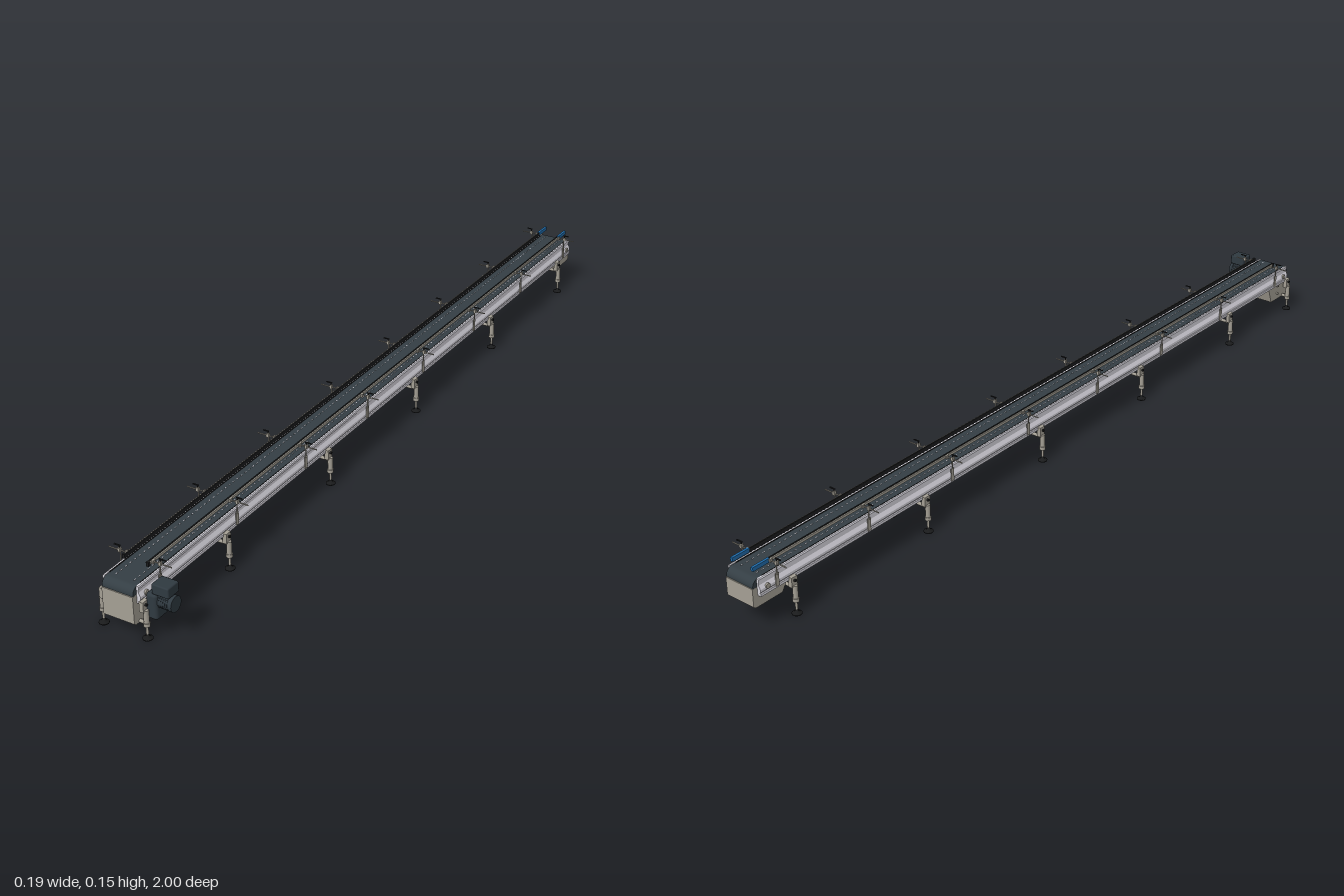
import * as THREE from 'three';
import { RoundedBoxGeometry } from 'three/addons/geometries/RoundedBoxGeometry.js';

const mat = (name, color) => {
  const m = new THREE.MeshStandardMaterial({ color });
  m.name = name;
  return m;
};

export function createModel() {
  const root = new THREE.Group();
  root.name = 'conveyor';
  const steel = mat('brushed steel', 0xa49f94);
  const aluminium = mat('aluminium', 0xd6d4dc);
  const beltDark = mat('belt slate', 0x343e44);
  const black = mat('black plastic', 0x1a1b1c);
  const motorGrey = mat('motor grey', 0x2f3940);
  const blue = mat('sensor blue', 0x1f6aa8);

  const CX = -0.018; // centre line of the track
  const add = (parent, name, geo, material, x = 0, y = 0, z = 0) => {
    const m = new THREE.Mesh(geo, material);
    m.name = name;
    m.position.set(x, y, z);
    parent.add(m);
    return m;
  };
  const box = (p, name, m, w, h, d, x, y, z) => add(p, name, new THREE.BoxGeometry(w, h, d), m, x, y, z);
  const rod = (p, name, m, r, len, axis, x, y, z, n = 12) => {
    const g = new THREE.CylinderGeometry(r, r, len, n);
    if (axis === 'x') g.rotateZ(Math.PI / 2);
    if (axis === 'z') g.rotateX(Math.PI / 2);
    return add(p, name, g, m, x, y, z);
  };
  const group = (name, x = 0, y = 0, z = 0) => {
    const g = new THREE.Group();
    g.name = name;
    g.position.set(x, y, z);
    root.add(g);
    return g;
  };
  // extrudes a z-y outline across the track, centred on x = 0
  const across = (shape, width) => {
    const g = new THREE.ExtrudeGeometry(shape, { depth: width, bevelEnabled: false, curveSegments: 10 });
    g.translate(0, 0, -width / 2);
    return g.rotateY(-Math.PI / 2);
  };

  // belt loop, flat above with rounded ends and a return run sagging between rollers
  const loop = new THREE.Shape();
  loop.moveTo(-0.98, 0.12);
  loop.absarc(-0.98, 0.104, 0.016, Math.PI / 2, Math.PI * 1.5, false);
  for (let i = 1; i < 108; i++) {
    const z = -0.98 + (1.96 * i) / 108;
    const end = Math.min(1, (0.98 - Math.abs(z)) / 0.1);
    loop.lineTo(z, 0.088 - end * 0.006 * Math.abs(Math.sin(((z + 0.9) * Math.PI) / 0.2)));
  }
  loop.absarc(0.98, 0.104, 0.016, -Math.PI / 2, Math.PI / 2, false);
  loop.closePath();
  add(root, 'belt', across(loop, 0.075), beltDark, CX);

  // light link pins along both sides of the carrying surface
  const pin = new THREE.BoxGeometry(0.0016, 0.001, 0.006);
  for (let i = 0; i < 130; i++) {
    for (const x of [-0.022, 0.022]) add(root, 'beltPin', pin, aluminium, CX + x, 0.1203, -0.9675 + i * 0.015);
  }

  // side frame profile with a sloping shoulder, drawn outward from the belt
  const profile = new THREE.Shape([
    [0.038, 0.081], [0.047, 0.081], [0.047, 0.087], [0.045, 0.088], [0.045, 0.09], [0.047, 0.091],
    [0.047, 0.097], [0.0425, 0.106], [0.0425, 0.113], [0.044, 0.114], [0.044, 0.119], [0.042, 0.121], [0.038, 0.121],
  ].map(([x, y]) => new THREE.Vector2(x, y)));
  const frameGeo = new THREE.ExtrudeGeometry(profile, { depth: 1.97, bevelEnabled: false });
  frameGeo.translate(0, 0, -0.985);
  const frameGeoMirror = frameGeo.clone().rotateY(Math.PI);

  // foot lathe profile
  const footGeo = new THREE.LatheGeometry(
    [[0, 0], [0.011, 0], [0.011, 0.0025], [0.004, 0.005], [0.003, 0.011], [0, 0.011]]
      .map(([x, y]) => new THREE.Vector2(x, y)), 16);

  const legZ = [0.98, 0.695, 0.295, -0.1, -0.5, -0.9];
  const bracketZ = [0.92, 0.653, 0.386, 0.12, -0.145, -0.41, -0.675, -0.94];

  for (const s of [-1, 1]) {
    add(root, 'sideFrame', s > 0 ? frameGeo : frameGeoMirror, aluminium, CX);
    box(root, 'wearStrip', black, 0.002, 0.002, 1.94, CX + s * 0.0375, 0.1205, 0);
    for (const z of [-0.965, 0.965]) {
      rod(root, 'shaftBearing', steel, 0.006, 0.004, 'x', CX + s * 0.047, 0.098, z, 16);
    }

    // legs with levelling feet
    for (const z of legZ) {
      const leg = group('leg', CX + s * 0.054, 0, z);
      add(leg, 'foot', footGeo, black);
      rod(leg, 'spindle', steel, 0.0028, 0.03, 'y', 0, 0.023, 0);
      rod(leg, 'legTube', steel, 0.0058, 0.036, 'y', 0, 0.05, 0);
      rod(leg, 'legCollar', steel, 0.0072, 0.008, 'y', 0, 0.034, 0);
      box(leg, 'legClamp', steel, 0.01, 0.024, 0.016, -s * 0.005, 0.076, 0);
      rod(leg, 'clampBolt', black, 0.003, 0.004, 'x', s * 0.002, 0.08, 0, 8);
    }

    // guide rail brackets
    for (const z of bracketZ) {
      const b = group('railBracket', CX, 0, z);
      box(b, 'bracketPlate', steel, 0.002, 0.03, 0.009, s * 0.048, 0.1, 0);
      rod(b, 'bracketPost', steel, 0.0014, 0.03, 'y', s * 0.0485, 0.126, 0, 8);
      rod(b, 'bracketArm', steel, 0.0014, 0.046, 'x', s * 0.054, 0.139, 0, 8);
      box(b, 'armClamp', steel, 0.006, 0.009, 0.007, s * 0.05, 0.14, 0);
      box(b, 'clampHandle', black, 0.015, 0.002, 0.003, s * 0.055, 0.15, 0);
      rod(b, 'handleStem', black, 0.0012, 0.008, 'y', s * 0.05, 0.147, 0, 8);
      box(b, 'railHolder', steel, 0.003, 0.008, 0.008, s * 0.0335, 0.139, 0);
    }

    // guide rail: steel back with a black sliding face, and a blue sensor beyond its rear end
    box(root, 'guideRailBack', steel, 0.003, 0.006, 1.87, CX + s * 0.0305, 0.139, -0.005);
    box(root, 'guideRailFace', black, 0.003, 0.009, 1.87, CX + s * 0.0275, 0.139, -0.005);
    box(root, 'railCap', black, 0.0065, 0.0095, 0.006, CX + s * 0.029, 0.139, 0.932);
    box(root, 'sensorBody', blue, 0.006, 0.0095, 0.032, CX + s * 0.029, 0.1395, -0.957);
    box(root, 'sensorTip', blue, 0.006, 0.0095, 0.014, CX + s * 0.029, 0.1395, -0.98);
  }

  // cross bars between legs
  legZ.forEach((z, i) => {
    rod(root, 'crossBar', steel, 0.004, 0.106, 'x', CX, i ? 0.062 : 0.037, z);
  });

  // return rollers under the belt
  for (let i = 0; i < 9; i++) {
    const z = -0.7 + i * 0.2;
    rod(root, 'returnRoller', black, 0.004, 0.08, 'x', CX, 0.085, z);
    for (const x of [-0.024, 0.024]) rod(root, 'rollerDisc', black, 0.008, 0.012, 'x', CX + x, 0.084, z, 16);
  }

  // sheet metal end housings, tapering underneath
  const housing = (name, zIn, zOut, bottom) => {
    const d = zOut - zIn;
    const pts = [[zIn, 0.084], [zIn + d * 0.2, bottom], [zOut - d * 0.06, bottom], [zOut, bottom + 0.004], [zOut, 0.101], [zIn, 0.101]];
    if (d < 0) pts.reverse();
    add(root, name, across(new THREE.Shape(pts.map(([z, y]) => new THREE.Vector2(z, y))), 0.0755), steel, CX);
  };
  housing('driveHousing', 0.905, 0.998, 0.034);
  housing('idlerHousing', -0.9, -0.998, 0.055);
  for (const s of [-1, 1]) for (const y of [0.052, 0.074]) {
    rod(root, 'housingBolt', steel, 0.003, 0.006, 'x', CX + s * 0.04, y, 0.95, 8);
  }

  // gear motor on the left of the drive end
  const motor = group('gearMotor', 0, 0, 0.957);
  rod(motor, 'driveShaft', steel, 0.006, 0.03, 'x', 0.03, 0.066, 0);
  add(motor, 'gearbox', new RoundedBoxGeometry(0.026, 0.06, 0.04, 3, 0.007), motorGrey, 0.047, 0.076, 0);
  rod(motor, 'gearboxFlange', motorGrey, 0.02, 0.008, 'x', 0.036, 0.066, 0, 24);
  rod(motor, 'motorBody', motorGrey, 0.0165, 0.032, 'x', 0.073, 0.087, 0, 24);
  for (let i = 0; i < 5; i++) rod(motor, 'coolingFin', motorGrey, 0.0172, 0.002, 'x', 0.062 + i * 0.005, 0.087, 0, 24);
  rod(motor, 'fanCover', motorGrey, 0.0175, 0.008, 'x', 0.089, 0.087, 0, 24);
  add(motor, 'controlBox', new RoundedBoxGeometry(0.041, 0.024, 0.036, 2, 0.003), motorGrey, 0.069, 0.118, 0);
  box(motor, 'controlNeck', motorGrey, 0.028, 0.012, 0.024, 0.069, 0.104, 0);

  return root;
}
